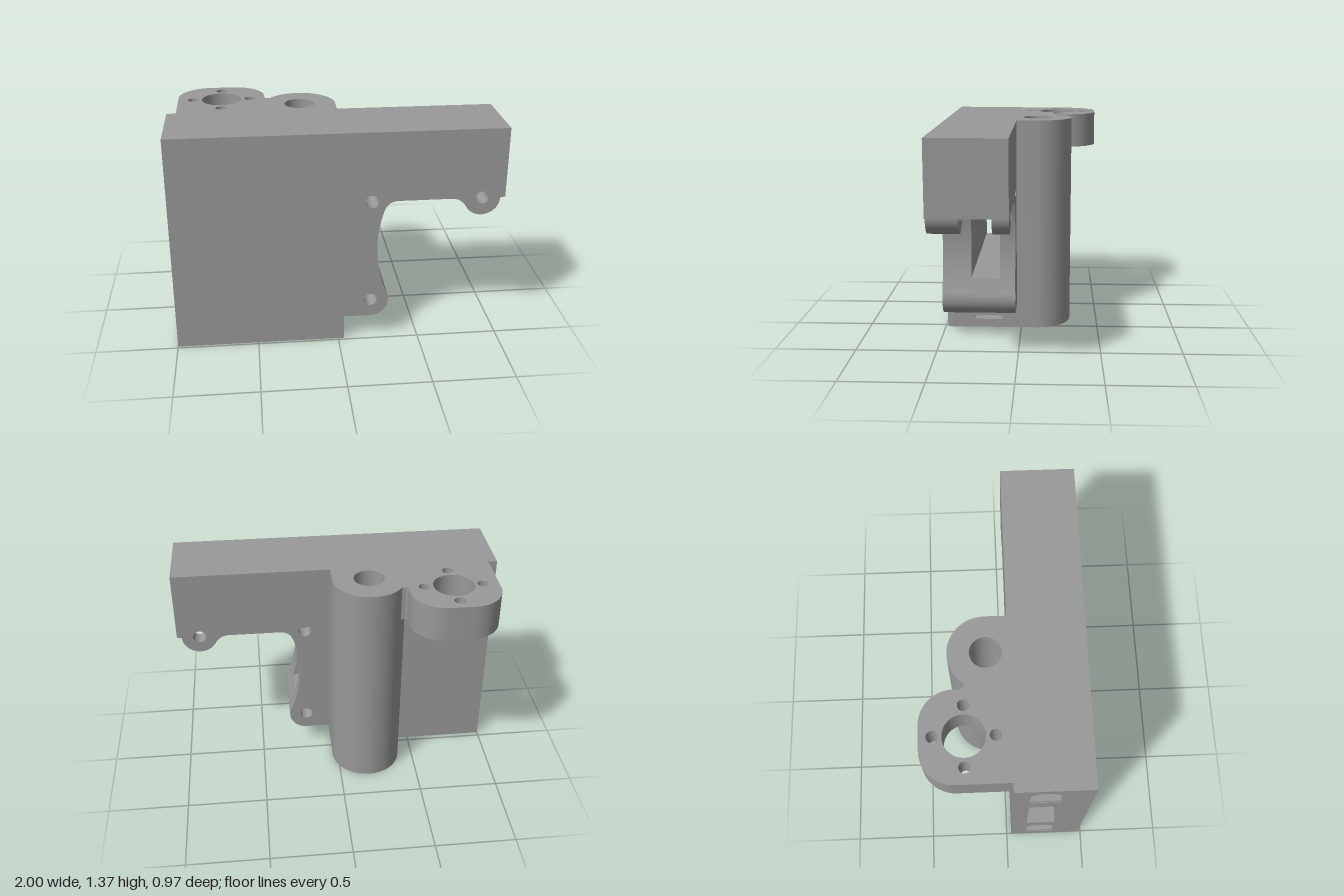
import * as THREE from 'three';
import { toCreasedNormals } from 'three/addons/utils/BufferGeometryUtils.js';

const grey = new THREE.MeshStandardMaterial({ color: 0x999999 });
grey.name = 'grey plastic';

const TOP = 1.365, BACK = 0.03, FRONT = 0.485; // block height and z range
const SLOT_BACK = 0.125, SLOT_FRONT = 0.305;   // z range of the central slot
const STEP = 0.035;                            // right end of the block's foot
const HOLE = 0.04;

function circle(x, y, r) {
  return new THREE.Path().absarc(x, y, r, 0, Math.PI * 2, true);
}

function rect(x0, y0, x1, y1) {
  return new THREE.Path().moveTo(x0, y0).lineTo(x0, y1).lineTo(x1, y1).lineTo(x1, y0).closePath();
}

function extrude(shape, depth) {
  return new THREE.ExtrudeGeometry(shape, { depth, bevelEnabled: false, curveSegments: 24 });
}

export function createModel() {
  const group = new THREE.Group();
  const add = (name, geometry) => {
    const mesh = new THREE.Mesh(toCreasedNormals(geometry, 0.5), grey);
    mesh.name = name;
    group.add(mesh);
  };
  const addPlate = (name, shape, z0, z1) => add(name, extrude(shape, z1 - z0).translate(0, 0, z0));
  const addUpright = (name, shape, y0, y1) =>
    add(name, extrude(shape, y1 - y0).rotateX(-Math.PI / 2).translate(0, y0, 0));

  // Main block: a side section (u = -z, v = y) pierced by channels, run along x
  const section = new THREE.Shape();
  section.moveTo(-FRONT, 0).lineTo(-BACK, 0).lineTo(-BACK, TOP).lineTo(-FRONT, TOP).closePath();
  section.holes.push(rect(-SLOT_FRONT, 0.4, -SLOT_BACK, 0.932));
  const mid = -(SLOT_FRONT + SLOT_BACK) / 2, r = (SLOT_FRONT - SLOT_BACK) / 2;
  for (const y of [0, 1]) {
    section.holes.push(rect(-SLOT_FRONT, y + 0.055, -SLOT_BACK, y + 0.08));
    const arch = new THREE.Path();
    arch.moveTo(mid - r, y + 0.105).lineTo(mid + r, y + 0.105).lineTo(mid + r, y + 0.215);
    arch.absarc(mid, y + 0.215, r, 0, Math.PI, false);
    arch.closePath();
    section.holes.push(arch);
  }
  add('mainBlock', extrude(section, STEP + 1).rotateY(Math.PI / 2).translate(-1, 0, 0));

  // Side cheeks: lower lobe, hollow throat, arm and end lobe
  const cheek = new THREE.Shape();
  cheek.moveTo(STEP, 0.157).lineTo(0.2, 0.157);
  cheek.absarc(0.2, 0.267, 0.11, -Math.PI / 2, 0.45, false);
  cheek.quadraticCurveTo(0.235, 0.47, 0.235, 0.62);
  cheek.quadraticCurveTo(0.235, 0.75, 0.27, 0.86);
  cheek.quadraticCurveTo(0.29, 0.932, 0.36, 0.932);
  cheek.lineTo(0.68, 0.932);
  cheek.quadraticCurveTo(0.735, 0.93, 0.768, 0.872);
  cheek.absarc(0.86, 0.932, 0.11, Math.PI * 1.19, Math.PI * 2, false);
  cheek.lineTo(1, 0.932).lineTo(1, TOP).lineTo(STEP, TOP).closePath();
  cheek.holes.push(circle(0.2, 0.27, HOLE), circle(0.2, 0.932, HOLE), circle(0.86, 0.932, HOLE));
  addPlate('frontCheek', cheek, SLOT_FRONT, FRONT);
  addPlate('backCheek', cheek, BACK, SLOT_BACK);

  // Filling between the cheeks, below and above the slot
  const lobe = new THREE.Shape();
  lobe.moveTo(STEP, 0.157).lineTo(0.2, 0.157);
  lobe.absarc(0.2, 0.267, 0.11, -Math.PI / 2, 0.45, false);
  lobe.quadraticCurveTo(0.282, 0.358, 0.269, 0.4);
  lobe.lineTo(STEP, 0.4).closePath();
  lobe.holes.push(circle(0.2, 0.27, HOLE));
  addPlate('lowerLobeCore', lobe, SLOT_BACK, SLOT_FRONT);

  const arm = new THREE.Shape();
  arm.moveTo(STEP, 0.932);
  for (const x of [0.2, 0.86]) {
    arm.lineTo(x - HOLE, 0.932);
    arm.absarc(x, 0.932, HOLE, Math.PI, 0, true);
  }
  arm.lineTo(1, 0.932).lineTo(1, TOP).lineTo(STEP, TOP).closePath();
  addPlate('armCore', arm, SLOT_BACK, SLOT_FRONT);

  // Upright rod sleeve on the back, with a counterbore underneath (v = -z)
  const sleeve = (hole) => {
    const s = new THREE.Shape();
    s.moveTo(-0.409, -BACK).lineTo(STEP, -BACK).lineTo(STEP, 0.098);
    s.absarc(-0.187, 0.098, 0.222, 0, Math.PI, false);
    s.closePath();
    s.holes.push(circle(-0.187, 0.098, hole));
    return s;
  };
  addUpright('rodSleeve', sleeve(0.093), 0.045, TOP);
  addUpright('sleeveCounterbore', sleeve(0.153), 0, 0.045);

  // Nut flange with a ring of four screw holes
  const flange = new THREE.Shape();
  flange.moveTo(-0.945, -BACK).lineTo(-0.365, -BACK).lineTo(-0.365, 0.23).lineTo(-0.385, 0.23);
  flange.quadraticCurveTo(-0.402, 0.23, -0.402, 0.25);
  flange.lineTo(-0.402, 0.285);
  flange.absarc(-0.602, 0.285, 0.2, 0, Math.PI / 2, false);
  flange.lineTo(-0.745, 0.485);
  flange.absarc(-0.745, 0.285, 0.2, Math.PI / 2, Math.PI, false);
  flange.closePath();
  flange.holes.push(circle(-0.673, 0.232, 0.123));
  for (let i = 0; i < 4; i++) {
    const a = i * Math.PI / 2;
    flange.holes.push(circle(-0.673 + 0.177 * Math.cos(a), 0.232 + 0.177 * Math.sin(a), 0.034));
  }
  addUpright('nutFlange', flange, 1.145, TOP);

  return group;
}
